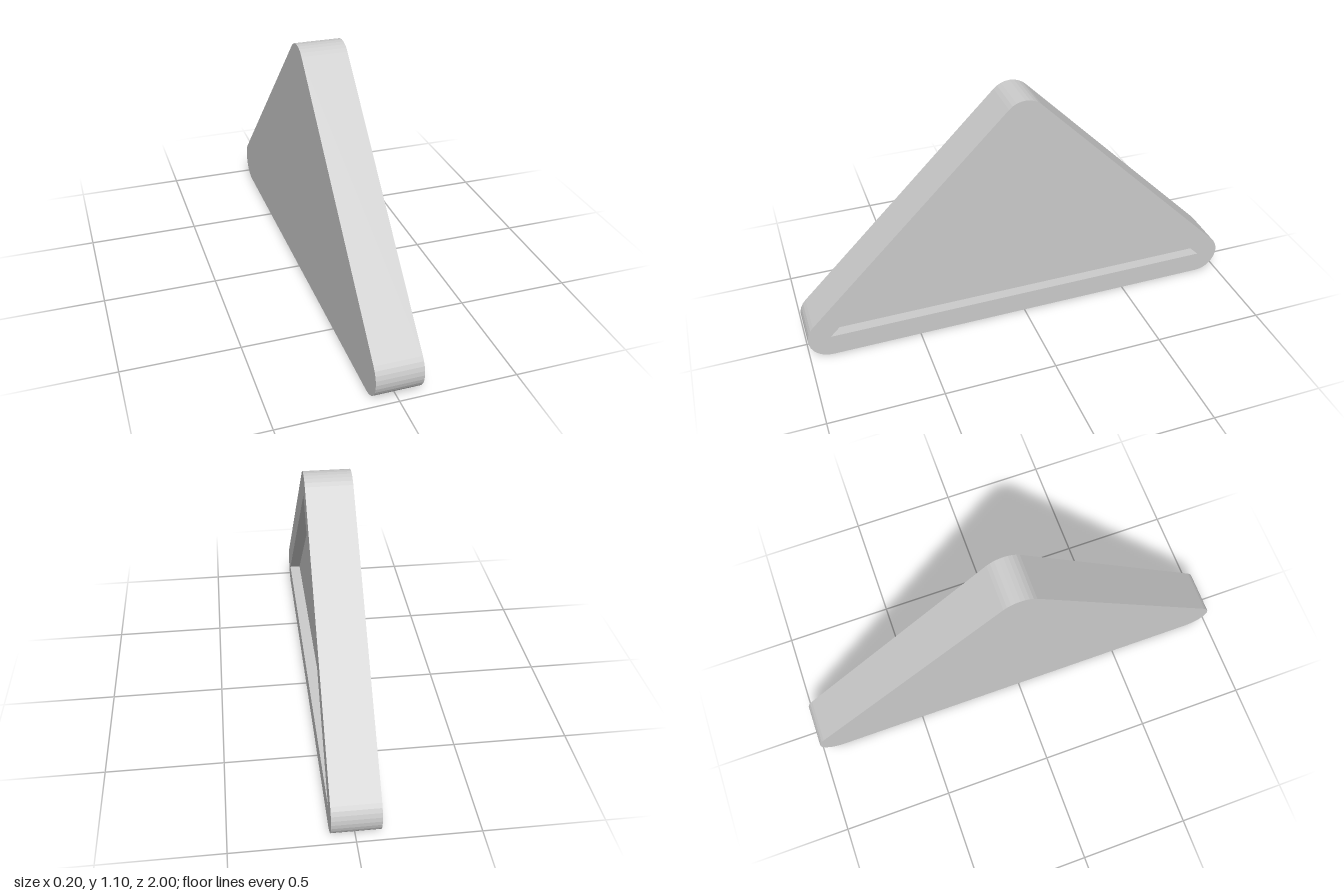
import * as THREE from 'three';

const RADIUS = 0.1, HALF = 0.1, FLOOR = 0.05;

// Triangle corners, counterclockwise, with the start angle and sweep of each rounded corner
const corners = [
  { x: 0.9, y: 0.1, start: -90, sweep: 135 },
  { x: 0, y: 1, start: 45, sweep: 90 },
  { x: -0.9, y: 0.1, start: 135, sweep: 135 },
];

function roundedOutline() {
  const points = [];
  for (const c of corners) {
    const steps = Math.round(c.sweep / 11.25);
    for (let i = 0; i <= steps; i++) {
      const a = THREE.MathUtils.degToRad(c.start + (c.sweep * i) / steps);
      points.push(new THREE.Vector2(c.x + RADIUS * Math.cos(a), c.y + RADIUS * Math.sin(a)));
    }
  }
  return points;
}

// Flat-faced strip along a closed loop; a counterclockwise loop faces outward
function wall(loop, z0, z1) {
  const pos = [];
  loop.forEach((a, i) => {
    const b = loop[(i + 1) % loop.length];
    pos.push(a.x, a.y, z0, b.x, b.y, z0, b.x, b.y, z1);
    pos.push(a.x, a.y, z0, b.x, b.y, z1, a.x, a.y, z1);
  });
  const g = new THREE.BufferGeometry();
  g.setAttribute('position', new THREE.Float32BufferAttribute(pos, 3));
  g.computeVertexNormals();
  return g;
}

export function createModel() {
  const group = new THREE.Group();
  group.name = 'triangularTray';
  const material = new THREE.MeshStandardMaterial({ color: 0xcccccc });

  // Parts are drawn in the xy plane, then turned so their front faces +x
  const add = (name, geometry) => {
    const mesh = new THREE.Mesh(geometry.rotateY(Math.PI / 2), material);
    mesh.name = name;
    group.add(mesh);
  };

  const outer = roundedOutline();
  const inner = corners.map((c) => new THREE.Vector2(c.x, c.y));

  // Rim face around the sharp-cornered recess
  const rim = new THREE.Shape(outer);
  rim.holes.push(new THREE.Path(inner));
  add('rim', new THREE.ShapeGeometry(rim).translate(0, 0, HALF));

  // Recess floor and its inward-facing walls
  add('recessFloor', new THREE.ShapeGeometry(new THREE.Shape(inner)).translate(0, 0, FLOOR));
  add('recessWall', wall([...inner].reverse(), FLOOR, HALF));

  // Outer edge and plain back
  add('outerWall', wall(outer, -HALF, HALF));
  add('back', new THREE.ShapeGeometry(new THREE.Shape(outer)).rotateY(Math.PI).translate(0, 0, -HALF));

  return group;
}
